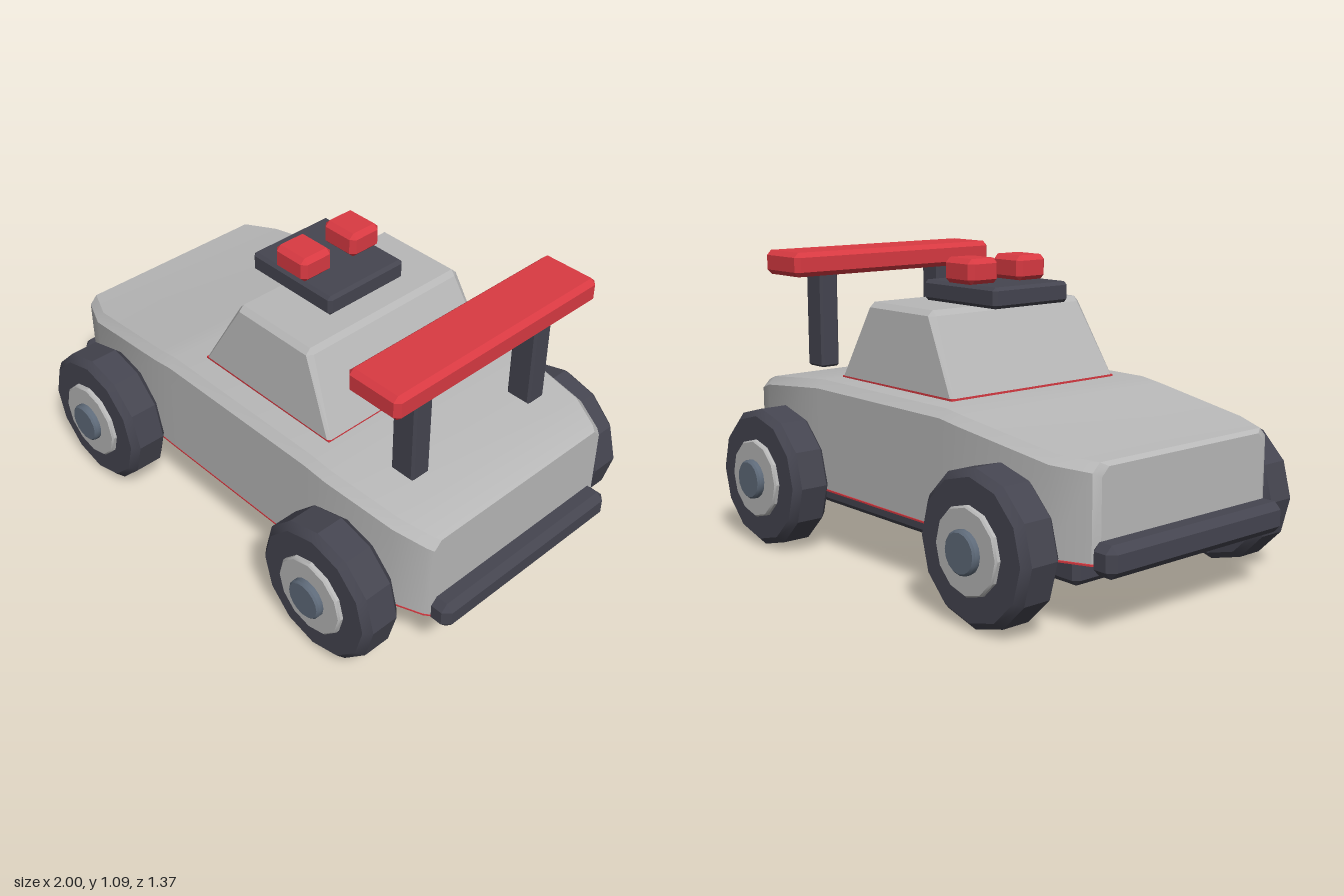
import * as THREE from 'three';
import { toCreasedNormals } from 'three/addons/utils/BufferGeometryUtils.js';
import { ConvexGeometry } from 'three/addons/geometries/ConvexGeometry.js';

const paint = (name, color) => {
  const m = new THREE.MeshStandardMaterial({ color });
  m.name = name;
  return m;
};

// Box with chamfered edges, given by its min and max corners
function chamferBox([x0, y0, z0], [x1, y1, z1], b) {
  const h = [(x1 - x0) / 2, (y1 - y0) / 2, (z1 - z0) / 2];
  const pts = [];
  for (const sx of [-1, 1]) for (const sy of [-1, 1]) for (const sz of [-1, 1])
    for (let axis = 0; axis < 3; axis++) {
      const p = h.map((v, i) => (i === axis ? v : v - b));
      pts.push(new THREE.Vector3(sx * p[0], sy * p[1], sz * p[2]));
    }
  return new ConvexGeometry(pts).translate((x0 + x1) / 2, (y0 + y1) / 2, (z0 + z1) / 2);
}

// Hull lofted along x through stations [x, half width, top], with chamfered shoulders
function loftHull(stations, bottom, b) {
  const rings = stations.map(([x, w, h]) => [
    [x, bottom, w], [x, h - b, w], [x, h, w - b],
    [x, h, b - w], [x, h - b, -w], [x, bottom, -w],
  ]);
  const pos = [];
  const tri = (...corners) => corners.forEach((c) => pos.push(...c));
  for (let i = 0; i < rings.length - 1; i++) {
    const a = rings[i], c = rings[i + 1];
    for (let k = 0; k < 6; k++) {
      const n = (k + 1) % 6;
      tri(a[k], c[k], c[n]);
      tri(a[k], c[n], a[n]);
    }
  }
  const first = rings[0], last = rings[rings.length - 1];
  for (let k = 1; k < 5; k++) {
    tri(first[0], first[k], first[k + 1]);
    tri(last[0], last[k + 1], last[k]);
  }
  const g = new THREE.BufferGeometry();
  g.setAttribute('position', new THREE.Float32BufferAttribute(pos, 3));
  return toCreasedNormals(g, 0.4);
}

// Faceted disc with chamfered rims, its axis along z
function disc(radius, z0, z1, b, sides) {
  const profile = [[0, z0], [radius - b, z0], [radius, z0 + b], [radius, z1 - b], [radius - b, z1], [0, z1]];
  const g = new THREE.LatheGeometry(profile.map(([r, z]) => new THREE.Vector2(r, z)), sides);
  return toCreasedNormals(g.rotateX(Math.PI / 2), 0.45);
}

export function createModel() {
  const grey = paint('body grey', 0xb8b8b8);
  const red = paint('red', 0xd93a42);
  const dark = paint('dark trim', 0x454550);
  const steel = paint('hub cap steel', 0x5f6b7a);

  const car = new THREE.Group();
  car.name = 'car';
  const add = (name, geometry, material, parent = car) => {
    const mesh = new THREE.Mesh(geometry, material);
    mesh.name = name;
    parent.add(mesh);
    return mesh;
  };

  // Body shell and its red underside
  const stations = [
    [-0.925, 0.385, 0.54], [-0.91, 0.41, 0.553], [-0.78, 0.468, 0.565], [-0.38, 0.497, 0.624],
    [-0.29, 0.498, 0.637], [0.42, 0.498, 0.639], [0.52, 0.497, 0.63],
    [0.8, 0.468, 0.598], [0.91, 0.425, 0.567], [0.93, 0.41, 0.558],
  ];
  add('body', loftHull(stations, 0.24, 0.03), grey);
  add('underside', loftHull(stations.map(([x, w]) => [x, w, 0.24]), 0.232, 0.002), red);
  add('chassis', chamferBox([-0.83, 0.14, -0.395], [0.83, 0.235, 0.395], 0.02), dark);

  // Tapered cabin with softened edges
  const cabin = [];
  for (const s of [-1, 1]) {
    cabin.push([-0.215, 0.645, s * 0.375], [-0.205, 0.645, s * 0.385], [0.41, 0.645, s * 0.385], [0.42, 0.645, s * 0.375]);
    cabin.push([-0.073, 0.908, s * 0.335], [-0.055, 0.908, s * 0.357], [0.28, 0.908, s * 0.357], [0.295, 0.908, s * 0.335]);
    cabin.push([-0.055, 0.927, s * 0.337], [0.278, 0.927, s * 0.337]);
  }
  add('cabin', new ConvexGeometry(cabin.map((p) => new THREE.Vector3(...p))), grey);
  add('cabinBase', new THREE.BoxGeometry(0.635, 0.009, 0.77).translate(0.1025, 0.6405, 0), red);

  // Roof plate and lights
  add('roofPlate', chamferBox([-0.195, 0.928, -0.175], [0.2, 1.003, 0.175], 0.012), dark);
  for (const s of [-1, 1]) {
    const z = s * 0.113;
    add('roofLight', chamferBox([-0.075, 1.0, z - 0.068], [0.08, 1.092, z + 0.068], 0.018), red);
  }

  // Rear wing on two posts
  add('wing', chamferBox([0.58, 0.997, -0.468], [0.802, 1.088, 0.468], 0.018), red);
  for (const z of [-0.283, 0.283])
    add('wingPost', chamferBox([0.643, 0.638, z - 0.04], [0.742, 1.0, z + 0.04], 0.008), dark);

  // Bumpers
  add('frontBumper', chamferBox([-1, 0.203, -0.416], [-0.9, 0.31, 0.416], 0.025), dark);
  add('rearBumper', chamferBox([0.9, 0.205, -0.41], [1, 0.307, 0.41], 0.025), dark);

  // Wheels, turned round for the far side
  const tyre = disc(0.26, 0.487, 0.642, 0.025, 12);
  const hub = disc(0.147, 0.635, 0.66, 0.006, 12);
  const cap = disc(0.073, 0.65, 0.685, 0.007, 16);
  for (const x of [-0.61, 0.615]) for (const turn of [0, Math.PI]) {
    const wheel = new THREE.Group();
    wheel.name = 'wheel';
    wheel.position.set(x, 0.26, 0);
    wheel.rotation.y = turn;
    add('tyre', tyre, dark, wheel);
    add('hub', hub, grey, wheel);
    add('hubCap', cap, steel, wheel);
    car.add(wheel);
  }
  return car;
}
